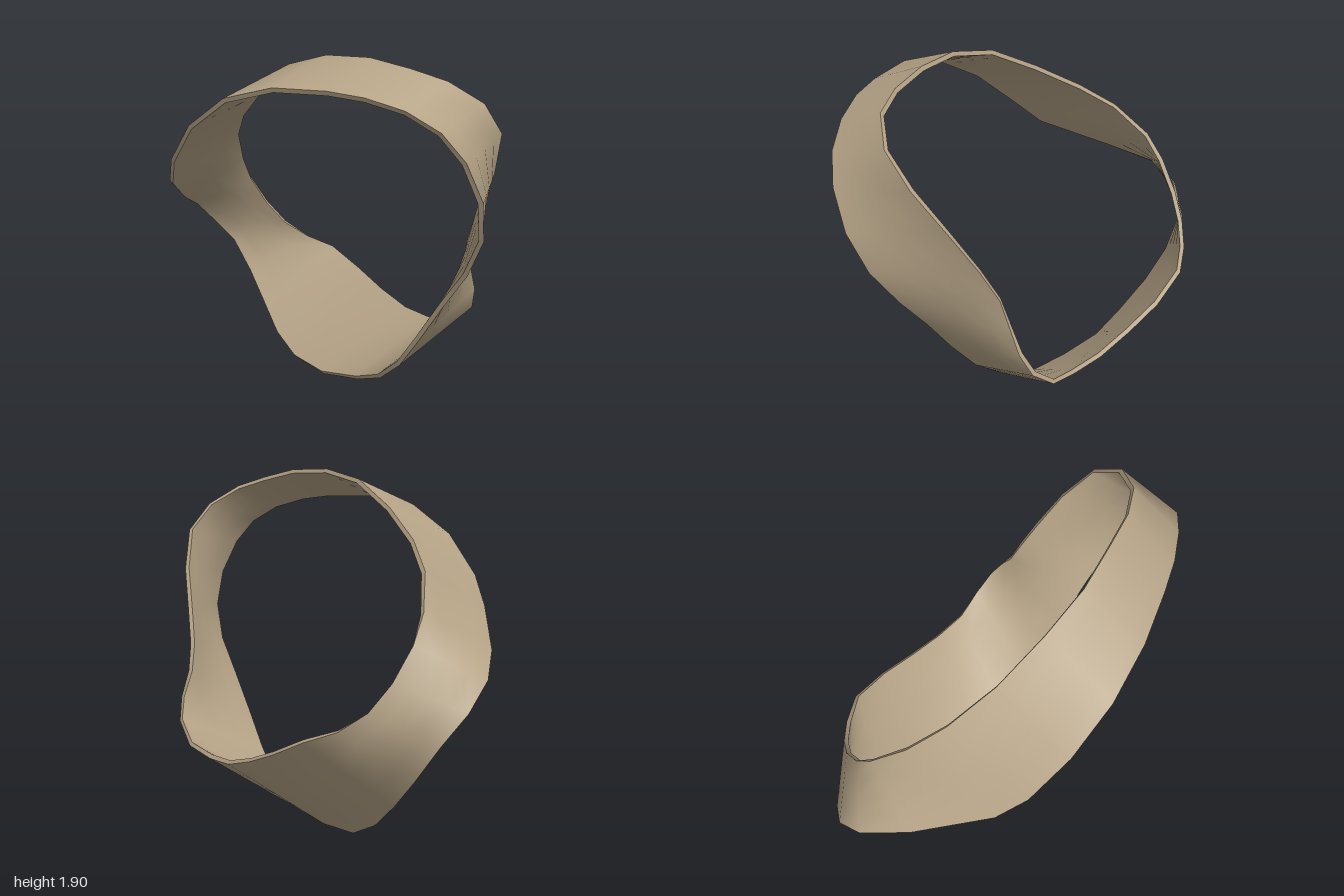
import * as THREE from 'three';

const THICKNESS = 0.024;
const ACROSS = 4; // subdivisions over the band's width

// Matching points along the two edges of the twisted band (x, y, z)
const EDGE_A = [
  0, 1.89, .39, .19, 1.89, .55, .36, 1.85, .68, .52, 1.8, .75, .69, 1.7, .74,
  .8, 1.55, .64, .81, 1.33, .49, .78, 1.1, .35, .76, .92, .255, .77, .77, .21,
  .81, .63, .165, .815, .51, .1, .75, .4, -.01, .63, .36, -.13, .52, .37, -.29,
  .4, .43, -.47, .28, .51, -.65, .13, .61, -.81, -.03, .67, -.87, -.17, .76, -.89,
  -.28, .89, -.87, -.38, 1.06, -.81, -.43, 1.2, -.73, -.455, 1.38, -.54,
  -.42, 1.52, -.33, -.32, 1.68, -.07, -.17, 1.83, .18,
];
const EDGE_B = [
  -.27, 1.76, .63, -.03, 1.76, .78, .13, 1.74, .87, .3, 1.69, .94, .45, 1.6, .985,
  .56, 1.47, .99, .65, 1.28, .95, .68, 1.08, .86, .64, .88, .73, .55, .68, .6,
  .46, .47, .48, .38, .28, .35, .3, .15, .2, .2, .06, 0, .02, .015, -.2,
  -.13, .035, -.42, -.23, .13, -.58, -.31, .28, -.75, -.39, .44, -.89, -.49, .62, -.99,
  -.62, .77, -.97, -.72, .9, -.86, -.78, 1, -.6, -.815, 1.17, -.17,
  -.79, 1.32, 0, -.68, 1.53, .22, -.5, 1.69, .44,
];
const COUNT = EDGE_A.length / 3;

// Point on the middle surface: i runs round the loop, u goes from edge A to edge B
function middle(i, u) {
  const k = ((i + COUNT) % COUNT) * 3;
  return new THREE.Vector3().fromArray(EDGE_A, k).lerp(new THREE.Vector3().fromArray(EDGE_B, k), u);
}

// Point on the outer (side = 1) or inner (side = -1) skin
function skin(i, u, side) {
  const along = middle(i + 1, u).sub(middle(i - 1, u));
  const across = middle(i, 1).sub(middle(i, 0));
  const normal = across.cross(along).normalize();
  return middle(i, u).addScaledVector(normal, side * THICKNESS / 2);
}

// Closed smooth strip between two lines of the cross-section, each given as [u, side]
function strip(from, to, steps) {
  const positions = [], index = [], row = steps + 1;
  for (let i = 0; i < COUNT; i++) {
    for (let j = 0; j <= steps; j++) {
      const t = j / steps;
      const p = skin(i, THREE.MathUtils.lerp(from[0], to[0], t), THREE.MathUtils.lerp(from[1], to[1], t));
      positions.push(p.x, p.y, p.z);
      if (j < steps) {
        const a = i * row + j, c = ((i + 1) % COUNT) * row + j;
        index.push(a, a + 1, c, a + 1, c + 1, c);
      }
    }
  }
  const geometry = new THREE.BufferGeometry();
  geometry.setAttribute('position', new THREE.Float32BufferAttribute(positions, 3));
  geometry.setIndex(index);
  geometry.computeVertexNormals();
  return geometry;
}

export function createModel() {
  const group = new THREE.Group();
  group.name = 'twistedBand';
  const material = new THREE.MeshStandardMaterial({ color: 0xb5a386 });
  material.name = 'sandyTan';

  const add = (name, from, to, steps) => {
    const mesh = new THREE.Mesh(strip(from, to, steps), material);
    mesh.name = name;
    group.add(mesh);
  };

  // Two broad faces and the two thin rims that close them
  add('outerFace', [0, 1], [1, 1], ACROSS);
  add('frontRim', [1, 1], [1, -1], 1);
  add('innerFace', [1, -1], [0, -1], ACROSS);
  add('backRim', [0, -1], [0, 1], 1);
  return group;
}
